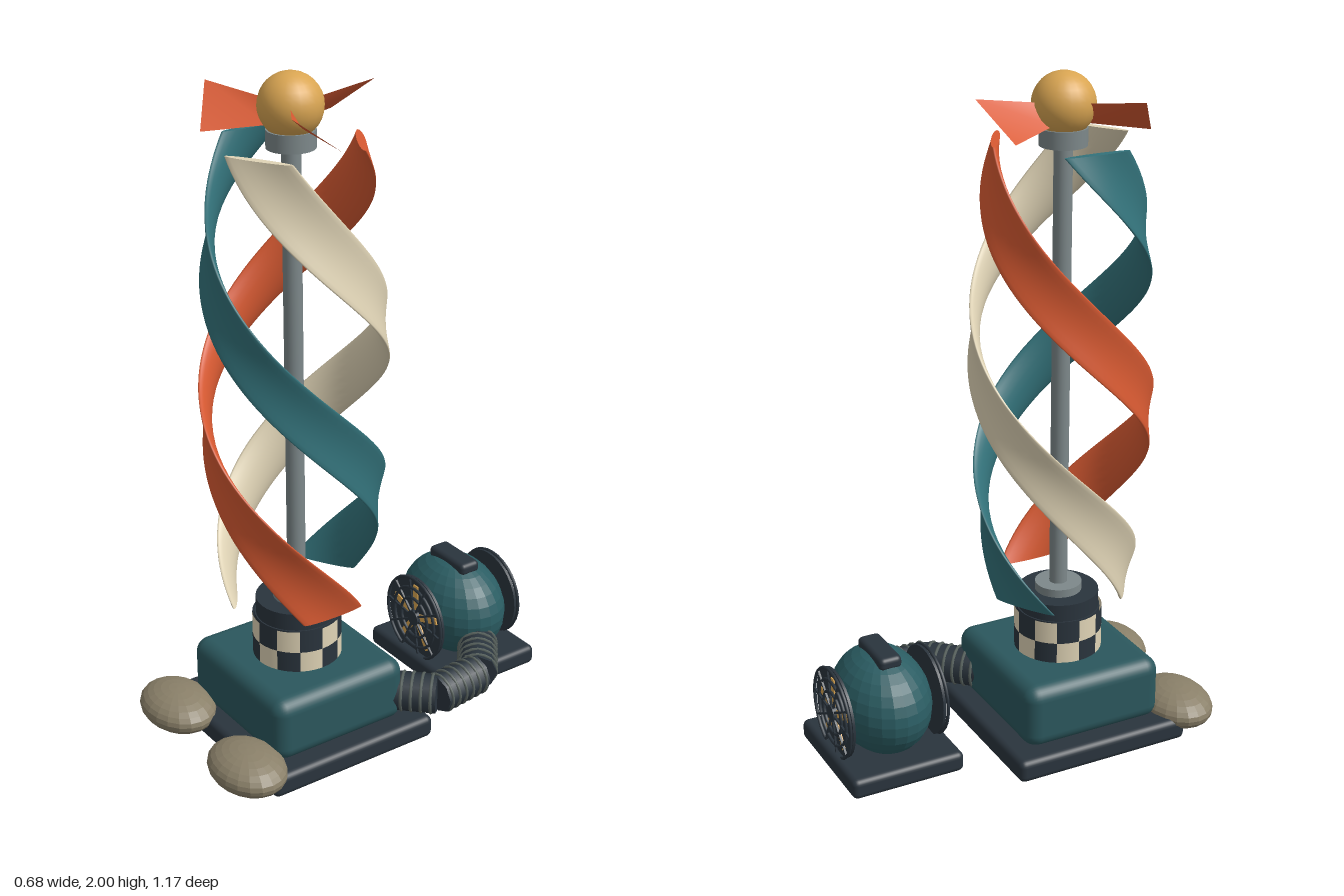
import * as THREE from 'three';
import { RoundedBoxGeometry } from 'three/addons/geometries/RoundedBoxGeometry.js';
import { ParametricGeometry } from 'three/addons/geometries/ParametricGeometry.js';

const mat = (color, opts = {}) => {
  const m = new THREE.MeshStandardMaterial(opts);
  m.color.set(color);
  return m;
};
const both = { side: THREE.DoubleSide };
const DARK = mat(0x2a343d), TEAL = mat(0x2b575d), GREY = mat(0x7d888a), CREAM = mat(0xe0d4b6);
const ORANGE = mat(0xd85a32, both), GOLD = mat(0xd9a552);
const DOME = mat(0x2b5d63, { flatShading: true }), STONE = mat(0x8a8069, { flatShading: true });
const CX = -0.01, CZ = 0.173; // tower axis

export function createModel() {
  const root = new THREE.Group();
  const add = (name, geo, material, x, y, z, parent = root) => {
    const m = new THREE.Mesh(geo, material);
    m.name = name;
    m.position.set(x, y, z);
    parent.add(m);
    return m;
  };
  const cyl = (name, r, y0, y1, material, n = 32) =>
    add(name, new THREE.CylinderGeometry(r, r, y1 - y0, n), material, CX, (y0 + y1) / 2, CZ);

  // Base and stone feet
  add('basePlate', new RoundedBoxGeometry(0.605, 0.07, 0.56, 3, 0.02), DARK, CX, 0.035, 0.17);
  add('baseBody', new RoundedBoxGeometry(0.48, 0.2, 0.45, 4, 0.045), TEAL, CX, 0.155, CZ);
  for (const x of [-0.203, 0.184])
    add('foot', new THREE.SphereGeometry(1, 20, 14), STONE, x, 0.067, 0.478).scale.set(0.14, 0.06, 0.105);

  // Chequered drum
  cyl('drumCore', 0.125, 0.24, 0.387, DARK);
  const step = Math.PI / 6;
  for (let row = 0; row < 2; row++)
    for (let i = 0; i < 12; i++)
      add('drumTile', new THREE.CylinderGeometry(0.132, 0.132, 0.068, 3, 1, true, i * step, step),
        (i + row) % 2 ? mat(0x2a343d, both) : mat(0xe0d4b6, both), CX, 0.285 + row * 0.068, CZ);
  cyl('drumCollar', 0.121, 0.385, 0.44, DARK);
  cyl('lowerBearing', 0.07, 0.44, 0.465, GREY);
  cyl('pole', 0.027, 0.46, 1.82, GREY, 20);
  cyl('upperBearing', 0.068, 1.795, 1.845, GREY);

  // Three helical ribbons: a flat oval section climbing 300 degrees and bulging mid-height
  const Y0 = 0.456, Y1 = 1.81, W = 0.1, T = 0.012;
  const ribbons = [
    ['creamRibbon', 120, mat(0xe0d4b6, both)],
    ['orangeRibbon', 0, ORANGE],
    ['tealRibbon', 240, mat(0x33727a, both)],
  ];
  for (const [name, start, material] of ribbons) {
    const angle = u => (start + 300 * u) * Math.PI / 180;
    const radius = u => 0.186 + 0.06 * Math.sin(Math.PI * u);
    const surface = (u, v, p) => {
      const a = angle(u), f = -2 * Math.PI * v;
      const r = radius(u) + T * Math.sin(f), t = W * Math.cos(f);
      p.set(r * Math.cos(a) - t * Math.sin(a), Y0 + (Y1 - Y0) * u, r * Math.sin(a) + t * Math.cos(a));
    };
    const g = new THREE.Group();
    g.name = name;
    g.position.set(CX, 0, CZ);
    root.add(g);
    add(name + 'Band', new ParametricGeometry(surface, 72, 20), material, 0, 0, 0, g);
    for (const u of [0, 1]) {
      const cap = new THREE.CircleGeometry(1, 20).rotateX(-Math.PI / 2).scale(T, 1, W).rotateY(-angle(u));
      add(name + 'End', cap, material, radius(u) * Math.cos(angle(u)), u ? Y1 : Y0, radius(u) * Math.sin(angle(u)), g);
    }
  }

  // Finial ball with three pitched vanes
  add('finialBall', new THREE.SphereGeometry(0.09, 24, 16), GOLD, CX, 1.91, CZ);
  const vane = new THREE.BufferGeometry();
  vane.setAttribute('position', new THREE.Float32BufferAttribute([
    0.06, 1.857, 0, 0.06, 1.918, 0.04, 0.22, 1.945, 0.143, 0.238, 1.842, 0.004], 3));
  vane.setIndex([0, 1, 2, 0, 2, 3]);
  vane.computeVertexNormals();
  for (let i = 0; i < 3; i++)
    add('vane', vane, ORANGE, CX, 0, CZ).rotation.y = i * Math.PI * 2 / 3;

  // Rear blower: plate, domed housing and handle
  const BX = -0.01, BZ = -0.415;
  add('blowerPlate', new RoundedBoxGeometry(0.395, 0.062, 0.35, 3, 0.018), DARK, BX, 0.06, BZ);
  add('blowerDome', new THREE.SphereGeometry(1, 24, 16), DOME, BX, 0.22, BZ).scale.set(0.19, 0.157, 0.14);
  add('blowerHandle', new RoundedBoxGeometry(0.17, 0.04, 0.07, 3, 0.015), DARK, BX, 0.37, BZ);

  // Round fan grilles, front and back
  for (const side of [1, -1]) {
    const g = new THREE.Group();
    g.name = 'fanGrille';
    g.position.set(BX, 0.21, BZ + side * 0.148);
    if (side < 0) g.rotation.y = Math.PI;
    root.add(g);
    add('fanBack', new THREE.CylinderGeometry(0.135, 0.135, 0.008, 32).rotateX(Math.PI / 2), DARK, 0, 0, -0.006, g);
    for (const r of [0.134, 0.1, 0.065])
      add('grilleRing', new THREE.TorusGeometry(r, 0.005, 6, 32), DARK, 0, 0, 0.005, g);
    add('grilleHub', new THREE.CylinderGeometry(0.025, 0.025, 0.016, 16).rotateX(Math.PI / 2), DARK, 0, 0, 0.004, g);
    for (let i = 0; i < 5; i++)
      add('fanBlade', new THREE.BoxGeometry(0.022, 0.085, 0.004).translate(0, 0.068, 0), GOLD, 0, 0, 0, g)
        .rotation.z = i * Math.PI * 0.4;
    for (let i = 0; i < 10; i++)
      add('grilleSpoke', new THREE.BoxGeometry(0.006, 0.13, 0.006).translate(0, 0.068, 0), DARK, 0, 0, 0.006, g)
        .rotation.z = (i + 0.3) * Math.PI / 5;
  }

  // Ribbed hose in three straight lengths
  const path = [[0.14, 0.155, -0.395], [0.265, 0.14, -0.295], [0.275, 0.13, -0.135], [0.15, 0.13, -0.01]]
    .map(p => new THREE.Vector3(...p));
  for (let i = 0; i < 3; i++) {
    const a = path[i], b = path[i + 1], len = a.distanceTo(b);
    const g = new THREE.Group();
    g.name = 'hoseSection';
    g.position.copy(a);
    g.lookAt(b);
    root.add(g);
    add('hoseTube', new THREE.CylinderGeometry(0.06, 0.06, len, 8).rotateX(Math.PI / 2), DARK, 0, 0, len / 2, g);
    for (let k = 0; k < 6; k++)
      add('hoseRib', new THREE.TorusGeometry(0.058, 0.005, 5, 20), mat(0x59635f), 0, 0, len * (k + 0.5) / 6, g);
  }
  return root;
}
